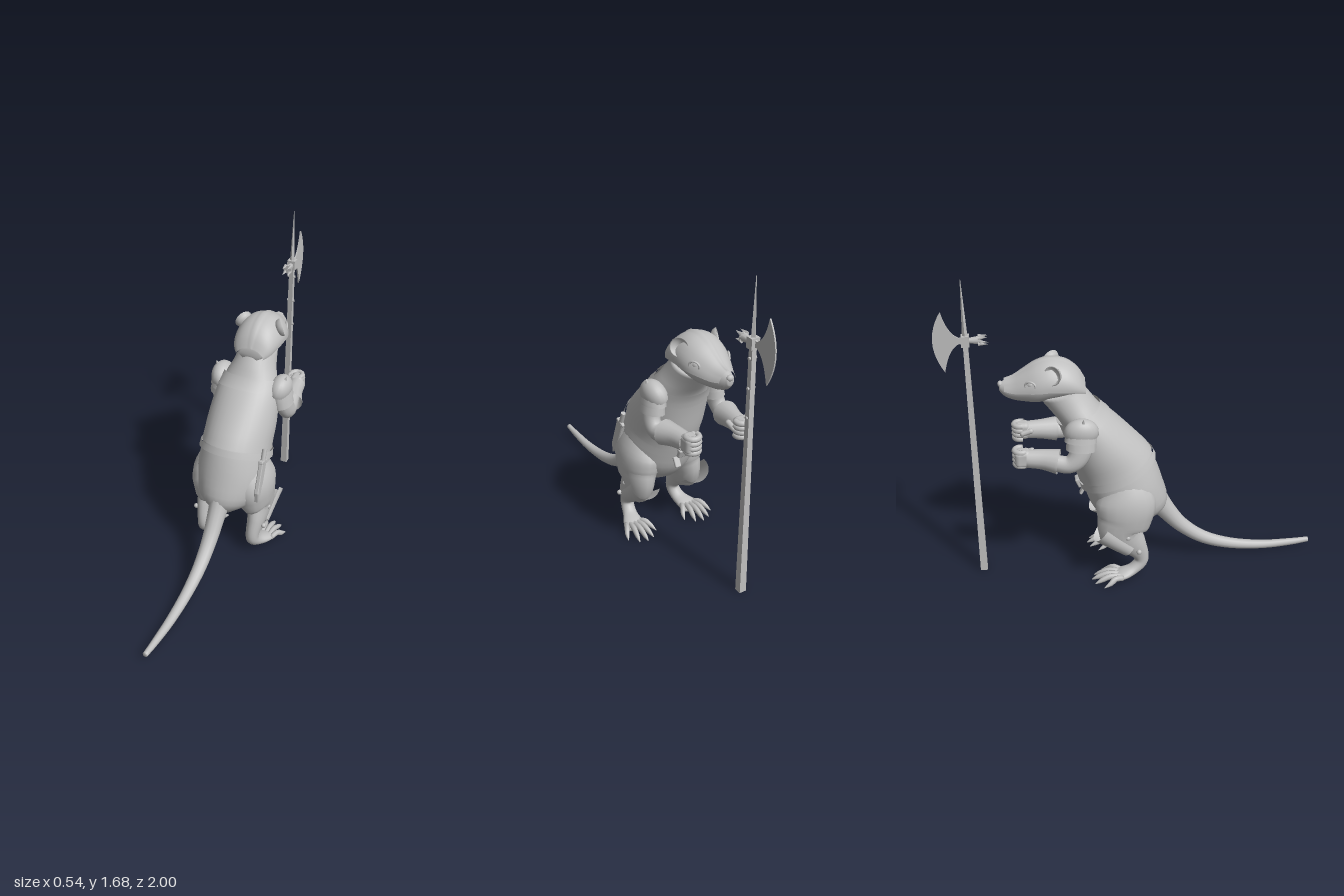
import * as THREE from 'three';
import { RoundedBoxGeometry } from 'three/addons/geometries/RoundedBoxGeometry.js';

const TAU = Math.PI * 2;
const grey = new THREE.MeshStandardMaterial({ color: 0xc0c0c0, side: THREE.DoubleSide });
grey.name = 'plain grey';

function add(parent, name, geo, pos = [0, 0, 0], rot = [0, 0, 0], scale = [1, 1, 1]) {
  const m = new THREE.Mesh(geo, grey);
  m.name = name;
  m.position.set(...pos); m.rotation.set(...rot); m.scale.set(...scale);
  parent.add(m);
  return m;
}

// Smooth sample of a table of rows at row position t
function sample(rows, t) {
  const i = Math.min(Math.floor(t), rows.length - 2), f = t - i;
  const r = k => rows[Math.max(0, Math.min(rows.length - 1, k))];
  return r(i).map((b, k) => {
    const a = r(i - 1)[k], c = r(i + 1)[k], d = r(i + 2)[k];
    return b + 0.5 * f * (c - a + f * (2 * a - 5 * b + 4 * c - d + f * (3 * (b - c) + d - a)));
  });
}

// Skin over rings of points; closed rings may be capped
function loft(rings, closed = true, cap = true) {
  const n = rings[0].length, pos = [], idx = [];
  rings.forEach(r => r.forEach(p => pos.push(p.x, p.y, p.z)));
  for (let i = 0; i < rings.length - 1; i++)
    for (let j = 0; j < (closed ? n : n - 1); j++) {
      const a = i * n + j, b = i * n + (j + 1) % n;
      idx.push(a, b, a + n, b, b + n, a + n);
    }
  if (closed && cap) [0, rings.length - 1].forEach((e, side) => {
    const c = new THREE.Vector3();
    rings[e].forEach(p => c.addScaledVector(p, 1 / n));
    const k = pos.length / 3;
    pos.push(c.x, c.y, c.z);
    for (let j = 0; j < n; j++) {
      const a = e * n + j, b = e * n + (j + 1) % n;
      side ? idx.push(a, b, k) : idx.push(b, a, k);
    }
  });
  // Turn the faces outwards
  let vol = 0;
  const v = i => new THREE.Vector3().fromArray(pos, i * 3).sub(rings[0][0]);
  for (let i = 0; i < idx.length; i += 3) vol += v(idx[i]).dot(v(idx[i + 1]).cross(v(idx[i + 2])));
  if (vol < 0) for (let i = 0; i < idx.length; i += 3) [idx[i], idx[i + 1]] = [idx[i + 1], idx[i]];
  const g = new THREE.BufferGeometry();
  g.setAttribute('position', new THREE.Float32BufferAttribute(pos, 3));
  g.setIndex(idx);
  g.computeVertexNormals();
  return g;
}

// Limb through rows of [x, y, z, side radius, depth radius], optionally only an arc of it
function limb(rows, { seg = 14, per = 4, arc = null, cap = true } = {}) {
  const N = (rows.length - 1) * per, rings = [];
  const at = t => new THREE.Vector3(...sample(rows, Math.max(0, Math.min(rows.length - 1, t))));
  for (let i = 0; i <= N; i++) {
    const t = i / per, [x, y, z, rs, ru] = sample(rows, t);
    const dir = at(t + 0.1).sub(at(t - 0.1)).normalize();
    const side = new THREE.Vector3(1, 0, 0).addScaledVector(dir, -dir.x).normalize();
    const up = dir.clone().cross(side), ring = [];
    for (let j = 0; j < (arc ? seg + 1 : seg); j++) {
      const a = arc ? arc[0] + (arc[1] - arc[0]) * j / seg : j / seg * TAU;
      ring.push(new THREE.Vector3(x, y, z).addScaledVector(side, Math.cos(a) * rs).addScaledVector(up, Math.sin(a) * ru));
    }
    rings.push(ring);
  }
  return loft(rings, !arc, cap);
}

// Torso sections: back z, back y, front z, front y, half width
const TORSO = [
  [0.15, 0.33, 0.02, 0.27, 0.05], [0.18, 0.41, -0.14, 0.3, 0.15], [0.15, 0.53, -0.23, 0.39, 0.195],
  [0.11, 0.65, -0.27, 0.49, 0.19], [0.07, 0.73, -0.3, 0.58, 0.18], [-0.02, 0.83, -0.33, 0.68, 0.18],
  [-0.11, 0.92, -0.355, 0.8, 0.17], [-0.18, 0.985, -0.385, 0.9, 0.15], [-0.225, 1.05, -0.44, 0.98, 0.118],
  [-0.27, 1.11, -0.5, 1.06, 0.1]];
function torso(t0, t1, off, cap) {
  const rings = [], steps = Math.max(2, Math.ceil((t1 - t0) * 3));
  for (let i = 0; i <= steps; i++) {
    const [bz, by, fz, fy, w] = sample(TORSO, t0 + (t1 - t0) * i / steps);
    const len = Math.hypot(fz - bz, fy - by), k = 0.5 + off / len, ring = [];
    for (let j = 0; j < 32; j++) {
      const a = j / 32 * TAU, c = Math.cos(a) * k;
      ring.push(new THREE.Vector3(Math.sin(a) * (w + off), (by + fy) / 2 + (fy - by) * c, (bz + fz) / 2 + (fz - bz) * c));
    }
    rings.push(ring);
  }
  return loft(rings, true, cap);
}

// Head sections: z, top, bottom, half width
const HEAD = [
  [-0.255, 1.13, 1.07, 0.06], [-0.29, 1.19, 1.06, 0.09], [-0.35, 1.238, 1.05, 0.108], [-0.43, 1.255, 1.04, 0.113],
  [-0.5, 1.238, 1.03, 0.105], [-0.56, 1.203, 1.035, 0.083], [-0.62, 1.166, 1.045, 0.055],
  [-0.665, 1.15, 1.065, 0.034], [-0.69, 1.14, 1.095, 0.018]];
function headShell(t1, off, shell) {
  const rings = [], N = Math.round(t1 * 3), n = 28;
  for (let i = 0; i <= N; i++) {
    const t = i / 3, [z, top, bot, w] = sample(HEAD, t), half = shell ? 1.95 - 0.06 * t : Math.PI, ring = [];
    for (let j = 0; j < (shell ? n + 1 : n); j++) {
      const a = (j / n * 2 - 1) * half;
      const ridge = shell && j === n / 2 ? 0.006 : 0;
      const flare = shell ? 0.012 * Math.max(0, Math.abs(a) - 1) : 0;
      ring.push(new THREE.Vector3(Math.sin(a) * (w + off + flare), (top + bot) / 2 + Math.cos(a) * ((top - bot) / 2 + off) + ridge, z));
    }
    rings.push(ring);
  }
  return loft(rings, !shell);
}

function buildSide(s) {
  const g = new THREE.Group();
  g.name = s > 0 ? 'leftSide' : 'rightSide';
  g.scale.x = s;
  // Leg and foot
  add(g, 'leg', limb([[0.1, 0.58, -0.07, 0.08, 0.1], [0.125, 0.47, -0.06, 0.1, 0.16], [0.135, 0.37, -0.07, 0.095, 0.15],
    [0.15, 0.29, -0.085, 0.07, 0.125], [0.155, 0.21, -0.025, 0.05, 0.075], [0.15, 0.14, 0.015, 0.038, 0.045],
    [0.15, 0.09, 0.015, 0.036, 0.037], [0.16, 0.05, -0.03, 0.04, 0.03], [0.175, 0.035, -0.09, 0.055, 0.025],
    [0.18, 0.027, -0.14, 0.05, 0.016]], { seg: 18 }));
  for (let i = 0; i < 5; i++) {
    const u = i / 2 - 1, x = 0.18 + u * 0.04, tx = 0.18 + u * 0.075, tz = -0.22 + 0.06 * u * u;
    add(g, 'toe', limb([[x, 0.035, -0.09, 0.014, 0.016], [(x + tx) / 2, 0.045, (tz - 0.1) / 2, 0.015, 0.017],
      [tx, 0.028, tz, 0.012, 0.014], [tx + u * 0.012, 0.012, tz - 0.035, 0.002, 0.002]], { seg: 8, per: 3 }));
  }
  // Shin plate with flared knee
  add(g, 'shinGuard', limb([[0.155, 0.32, -0.19, 0.085, 0.075], [0.16, 0.255, -0.115, 0.068, 0.062],
    [0.16, 0.2, -0.045, 0.06, 0.055]], { arc: [-2.6, 0.5] }));
  for (const [y, z] of [[0.285, -0.06], [0.19, 0.0]])
    add(g, 'shinRivet', new THREE.SphereGeometry(0.014, 10, 8), [0.208, y, z]);
  // Arm, cuff and fist
  add(g, 'arm', limb([[0.14, 0.94, -0.27, 0.05, 0.07], [0.178, 0.87, -0.285, 0.047, 0.065], [0.195, 0.79, -0.31, 0.043, 0.055],
    [0.195, 0.75, -0.36, 0.042, 0.048], [0.18, 0.76, -0.44, 0.04, 0.044], [0.16, 0.78, -0.56, 0.035, 0.038]]));
  add(g, 'gauntletCuff', limb([[0.183, 0.765, -0.41, 0.068, 0.066], [0.168, 0.775, -0.49, 0.052, 0.054],
    [0.16, 0.78, -0.57, 0.046, 0.048]], { cap: false }));
  add(g, 'palm', new RoundedBoxGeometry(0.075, 0.095, 0.085, 3, 0.025), [0.155, 0.783, -0.59]);
  for (let i = 0; i < 4; i++)
    add(g, 'finger', new THREE.TorusGeometry(0.032, 0.016, 8, 12, 4), [0.145, 0.747 + i * 0.025, -0.598], [-Math.PI / 2, 0, -0.6]);
  add(g, 'thumb', new THREE.CapsuleGeometry(0.015, 0.045, 4, 8), [0.105, 0.79, -0.565], [Math.PI / 2 - 0.3, 0, 0]);
  // Shoulder plates
  add(g, 'shoulderCap', new THREE.SphereGeometry(0.085, 18, 10, 0, TAU, 0, Math.PI * 0.55), [0.168, 0.915, -0.29], [0, 0, -0.25], [0.72, 0.95, 1.05]);
  for (let i = 0; i < 2; i++) {
    const y = 0.93 - i * 0.045;
    add(g, 'shoulderLame', limb([[0.17 + i * 0.004, y, -0.29, 0.054, 0.076], [0.177 + i * 0.004, y - 0.06, -0.295, 0.06, 0.084 - i * 0.006]], { cap: false }));
  }
  add(g, 'shoulderPoint', new THREE.ConeGeometry(0.018, 0.05, 6), [0.2, 0.985, -0.28], [0, 0, -0.3]);
  // Ear and eye
  const bowl = [[0.001, 0], [0.025, 0.003], [0.042, 0.014], [0.05, 0.034], [0.044, 0.034], [0.03, 0.016], [0.001, 0.01]];
  const ear = new THREE.LatheGeometry(bowl.map(p => new THREE.Vector2(...p)), 18).rotateZ(-Math.PI / 2);
  add(g, 'ear', ear, [0.085, 1.202, -0.405], [0, 0.6, 0.25]);
  add(g, 'eye', new THREE.SphereGeometry(0.022, 14, 10), [0.09, 1.155, -0.53], [0, 0.4, 0], [0.6, 0.85, 1]);
  add(g, 'eyeRim', new THREE.TorusGeometry(0.028, 0.006, 8, 18), [0.098, 1.155, -0.533], [0, Math.PI / 2 + 0.45, 0], [1, 0.8, 1]);
  return g;
}

function buildHalberd() {
  const g = new THREE.Group();
  g.name = 'halberd';
  g.position.z = -0.84;
  add(g, 'pole', new THREE.CylinderGeometry(0.017, 0.027, 1.39, 4).toNonIndexed().rotateY(Math.PI / 4), [0, 0.705, 0]).geometry.computeVertexNormals();
  const spike = add(g, 'topSpike', new THREE.CylinderGeometry(0.002, 0.018, 0.31, 4).toNonIndexed(), [0, 1.535, 0], [0, 0, 0], [0.8, 1, 0.8]);
  spike.geometry.computeVertexNormals();
  // Blade drawn with its edge towards +x, then turned to the front
  const s = new THREE.Shape();
  s.moveTo(0, 0.025);
  s.lineTo(0.03, 0.015);
  s.quadraticCurveTo(0.085, 0.04, 0.11, 0.155);
  s.quadraticCurveTo(0.21, 0, 0.11, -0.165);
  s.quadraticCurveTo(0.085, -0.04, 0.03, -0.015);
  s.lineTo(0, -0.025);
  add(g, 'axeBlade', new THREE.ExtrudeGeometry(s, { depth: 0.008, bevelEnabled: false, curveSegments: 12 }).translate(0, 0, -0.004).rotateY(Math.PI / 2), [0, 1.375, 0]);
  add(g, 'socket', new THREE.BoxGeometry(0.045, 0.055, 0.04), [0, 1.375, 0]);
  // Pronged hammer on the back
  add(g, 'hammerNeck', new THREE.CylinderGeometry(0.024, 0.014, 0.06, 8), [0, 1.375, 0.045], [Math.PI / 2, 0, 0]);
  for (let i = 0; i < 4; i++) {
    const a = (i + 0.5) * TAU / 4, x = Math.cos(a), y = Math.sin(a);
    add(g, 'prong', new THREE.ConeGeometry(0.012, 0.05, 5), [x * 0.019, 1.375 + y * 0.024, 0.088], [Math.PI / 2 - y * 0.15, 0, 0]);
  }
  for (const y of [1.0, 1.15, 1.3])
    add(g, 'poleRivet', new THREE.CylinderGeometry(0.008, 0.008, 0.042, 8), [0, y, 0], [0, 0, Math.PI / 2]);
  return g;
}

export function createModel() {
  const model = new THREE.Group();
  model.name = 'armouredRat';
  add(model, 'body', torso(0, 9, 0, true));
  add(model, 'breastplate', torso(3.75, 7, 0.008, false));
  add(model, 'collarPlate', torso(6.4, 7.25, 0.014, false));
  add(model, 'belt', torso(3.28, 3.72, 0.014, false));
  add(model, 'beltBuckle', new RoundedBoxGeometry(0.06, 0.055, 0.03, 2, 0.008), [0, 0.535, -0.3], [-0.4, 0, 0]);
  add(model, 'beltEnd', new RoundedBoxGeometry(0.035, 0.09, 0.016, 2, 0.006), [0.02, 0.485, -0.272], [0.5, 0, 0]);
  add(model, 'tail', limb([[0, 0.43, 0.09, 0.06, 0.08], [0, 0.33, 0.165, 0.05, 0.055], [0, 0.215, 0.26, 0.042, 0.042], [0, 0.12, 0.39, 0.036, 0.036],
    [0, 0.065, 0.55, 0.03, 0.03], [0, 0.042, 0.73, 0.025, 0.024], [0, 0.045, 0.89, 0.019, 0.02], [0, 0.055, 1.0, 0.014, 0.014]]));
  // Head and helmet
  add(model, 'head', headShell(8, 0, false));
  add(model, 'helmet', headShell(7, 0.009, true));
  add(model, 'nose', new THREE.SphereGeometry(0.018, 12, 8), [0, 1.132, -0.684], [0, 0, 0], [1.1, 0.9, 0.8]);
  for (const s of [1, -1]) model.add(buildSide(s));
  // Dagger hanging from the belt
  const dagger = new THREE.Group();
  dagger.name = 'dagger';
  dagger.position.set(0.193, 0.6, 0.005);
  dagger.rotation.x = -0.35;
  const sheath = new THREE.Shape([[-0.024, 0.02], [0.024, 0.02], [0.022, -0.15], [0, -0.2], [-0.022, -0.15]].map(p => new THREE.Vector2(...p)));
  add(dagger, 'sheath', new THREE.ExtrudeGeometry(sheath, { depth: 0.016, bevelSize: 0.004, bevelThickness: 0.004, bevelSegments: 1 }).translate(0, 0, -0.008).rotateY(Math.PI / 2));
  add(dagger, 'guard', new RoundedBoxGeometry(0.026, 0.02, 0.065, 2, 0.006), [0, 0.028, 0]);
  add(dagger, 'grip', new THREE.CylinderGeometry(0.013, 0.013, 0.07, 10), [0, 0.065, 0]);
  model.add(dagger);
  model.add(buildHalberd());
  return model;
}
